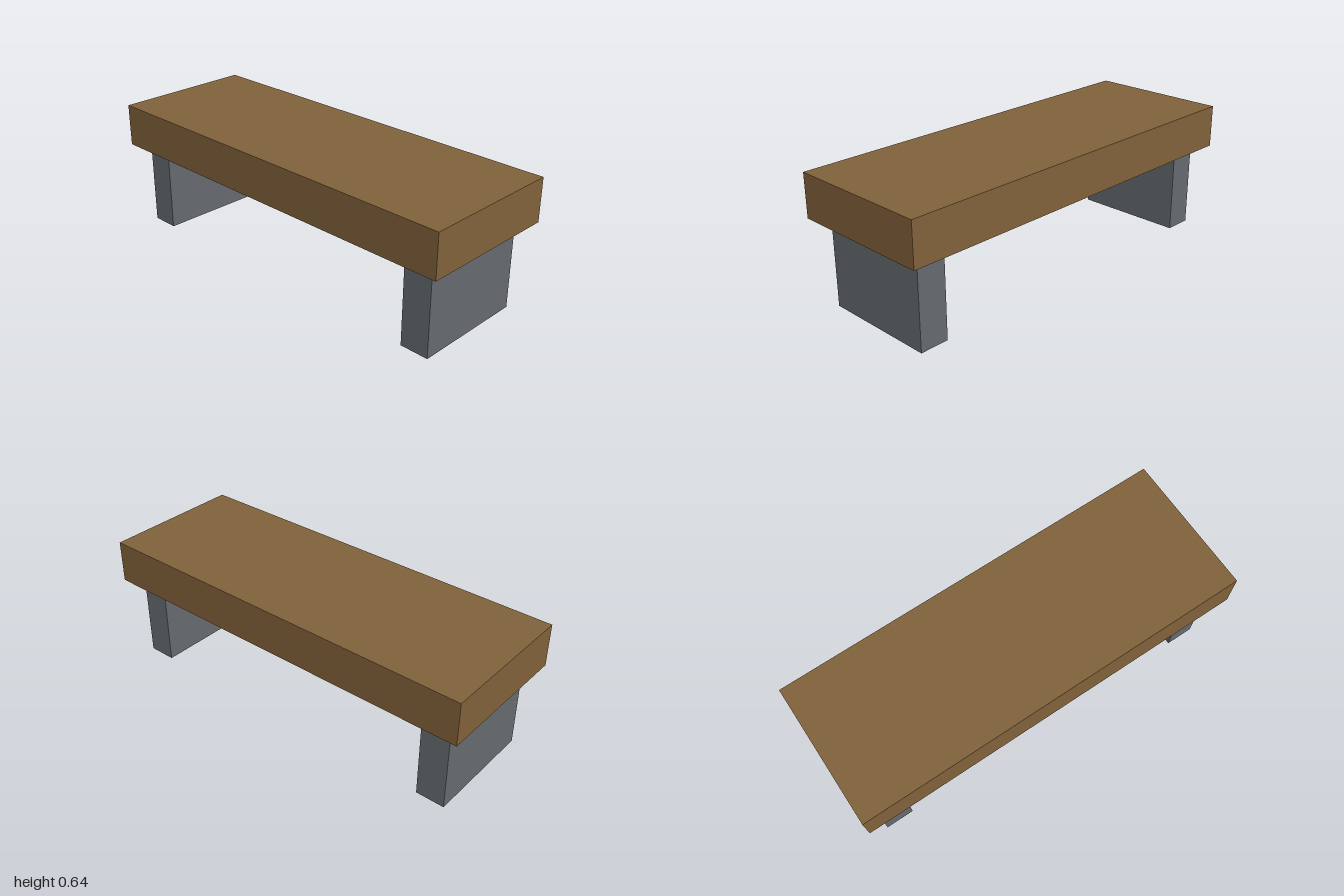
import * as THREE from 'three';

export function createModel() {
  const model = new THREE.Group();
  model.name = 'bench';

  const wood = new THREE.MeshStandardMaterial({ color: 0x80613a });
  wood.name = 'brown wood';
  const stone = new THREE.MeshStandardMaterial({ color: 0x656a6e, side: THREE.DoubleSide });
  stone.name = 'grey stone';

  const legHeight = 0.429, slabHeight = 0.214;

  // Thick wooden slab
  const slab = new THREE.Mesh(new THREE.BoxGeometry(2, slabHeight, 0.714), wood);
  slab.name = 'seat';
  slab.position.y = legHeight + slabHeight / 2;
  model.add(slab);

  // Leg: four walls only, hollow and open at the top and bottom
  const legGeometry = new THREE.BoxGeometry(0.143, legHeight, 0.571);
  const index = Array.from(legGeometry.index.array);
  index.splice(12, 12); // drop the top and bottom faces
  legGeometry.setIndex(index);
  legGeometry.clearGroups();

  for (const [name, side] of [['leftLeg', 1], ['rightLeg', -1]]) {
    const leg = new THREE.Mesh(legGeometry, stone);
    leg.name = name;
    leg.position.set(side * 0.857, legHeight / 2, 0);
    model.add(leg);
  }

  return model;
}
